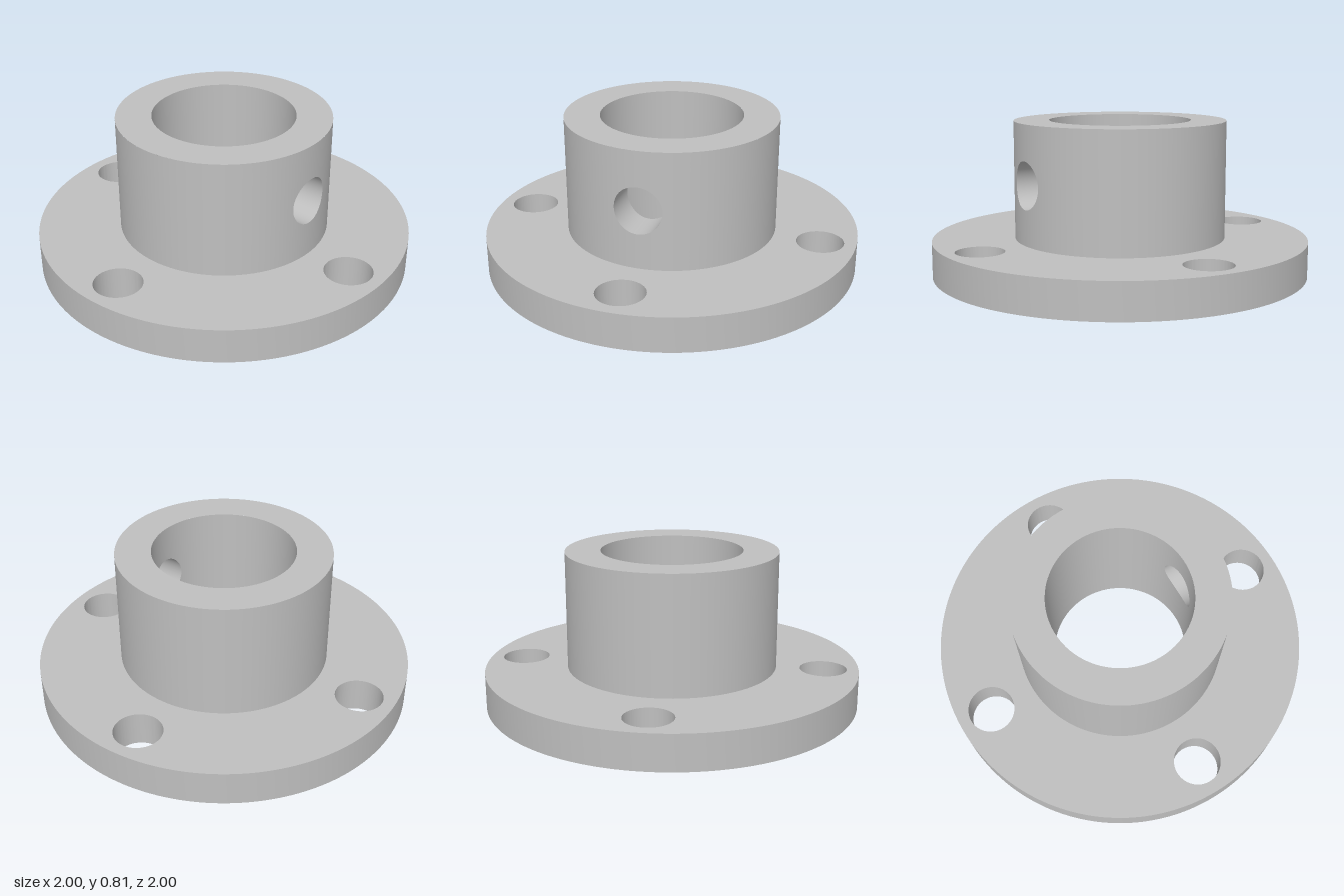
import * as THREE from 'three';
import { toCreasedNormals } from 'three/addons/utils/BufferGeometryUtils.js';
import { ParametricGeometry } from 'three/addons/geometries/ParametricGeometry.js';

const FLANGE_R = 1, FLANGE_H = 0.1875;
const HUB_R = 0.5625, BORE_R = 0.375, TOP = 0.8125;
const HOLE_R = 0.125, BOLT_CIRCLE = 0.8125;
const MID = (FLANGE_H + TOP) / 2, HALF_H = (TOP - FLANGE_H) / 2;
const PATCH = Math.PI / 4; // half angle of the wall section around the set screw hole

// Point on a cylinder wall: k = 0 on the screw hole edge, k = 1 on the section's border
function wallPoint(radius, t, k, target) {
  const c = Math.cos(t), s = Math.sin(t), m = Math.max(Math.abs(c), Math.abs(s));
  const angle = THREE.MathUtils.lerp(Math.asin(HOLE_R * c / radius), PATCH * c / m, k);
  const y = THREE.MathUtils.lerp(HOLE_R * s, HALF_H * s / m, k);
  return target.set(radius * Math.sin(angle), MID + y, radius * Math.cos(angle));
}

export function createModel() {
  const model = new THREE.Group();
  const metal = new THREE.MeshStandardMaterial({ color: 0xbfbfbf });
  metal.name = 'grey metal';

  const add = (parent, name, geometry) => {
    const mesh = new THREE.Mesh(geometry, metal);
    mesh.name = name;
    parent.add(mesh);
  };

  // Flange disc with the bore and four bolt holes
  const disc = new THREE.Shape().absarc(0, 0, FLANGE_R, 0, Math.PI * 2, false);
  const cut = (x, y, r) => disc.holes.push(new THREE.Path().absarc(x, y, r, 0, Math.PI * 2, true));
  cut(0, 0, BORE_R);
  for (let i = 0; i < 4; i++) {
    const a = i * Math.PI / 2;
    cut(BOLT_CIRCLE * Math.cos(a), BOLT_CIRCLE * Math.sin(a), HOLE_R);
  }
  const flange = new THREE.ExtrudeGeometry(disc, { depth: FLANGE_H, bevelEnabled: false, curveSegments: 96 });
  flange.rotateX(-Math.PI / 2);
  add(model, 'flange', toCreasedNormals(flange, 0.5));

  // Hub: plain walls around the sides and back, and the top rim
  const hub = new THREE.Group();
  hub.name = 'hub';
  model.add(hub);
  const lathe = (r0, y0, r1, y1, start, length) => new THREE.LatheGeometry(
    [new THREE.Vector2(r0, y0), new THREE.Vector2(r1, y1)], 96, start, length);
  const sweep = Math.PI * 2 - PATCH * 2;
  add(hub, 'hubOuterWall', lathe(HUB_R, FLANGE_H, HUB_R, TOP, PATCH, sweep));
  add(hub, 'hubBoreWall', lathe(BORE_R, TOP, BORE_R, FLANGE_H, PATCH, sweep));
  add(hub, 'hubRim', lathe(HUB_R, TOP, BORE_R, TOP, 0, Math.PI * 2));

  // Front wall sections pierced by the set screw hole
  const turn = Math.PI * 2;
  add(hub, 'hubFrontOuterWall', new ParametricGeometry(
    (u, v, p) => wallPoint(HUB_R, u * turn, 1 - v, p), 96, 12));
  add(hub, 'hubFrontBoreWall', new ParametricGeometry(
    (u, v, p) => wallPoint(BORE_R, u * turn, v, p), 96, 12));

  // Lining of the set screw hole, from the outer wall to the bore
  const a = new THREE.Vector3(), b = new THREE.Vector3();
  add(hub, 'setScrewHole', new ParametricGeometry((u, v, p) => {
    wallPoint(HUB_R, u * turn, 0, a);
    wallPoint(BORE_R, u * turn, 0, b);
    p.lerpVectors(a, b, v);
  }, 96, 1));

  return model;
}
